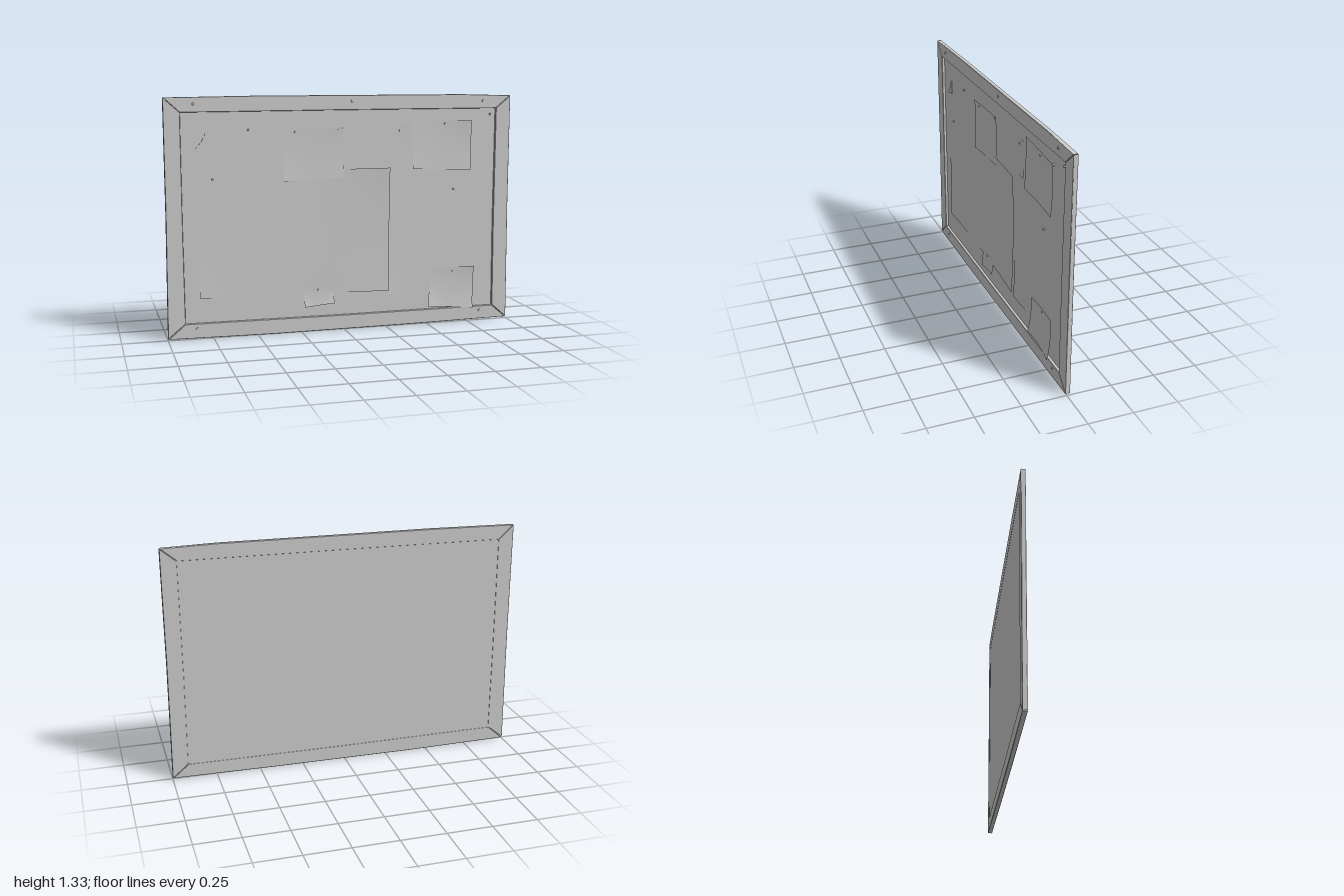
import * as THREE from 'three';

const BACK = -0.018, FRONT = 0.007, PANEL = -0.009;

export function createModel() {
  const board = new THREE.Group();
  board.name = 'noticeBoard';
  const material = new THREE.MeshStandardMaterial({ color: 0xcccccc });
  const paperMaterial = new THREE.MeshStandardMaterial({ color: 0xcccccc, side: THREE.DoubleSide });

  const add = (name, geometry, mat = material) => {
    const mesh = new THREE.Mesh(geometry, mat);
    mesh.name = name;
    board.add(mesh);
    return mesh;
  };

  // Mitred frame rails with slightly uneven, hand-cut outer edges
  const bevel = 0.002;
  const rail = (name, points) => {
    const shape = new THREE.Shape(points.map(([x, y]) => new THREE.Vector2(x, y)));
    const geometry = new THREE.ExtrudeGeometry(shape, {
      depth: FRONT - BACK - 2 * bevel, bevelEnabled: true, bevelSegments: 1,
      bevelSize: bevel, bevelThickness: bevel, bevelOffset: -bevel,
    });
    geometry.translate(0, 0, BACK + bevel);
    add(name, geometry);
  };
  rail('topRail', [[-0.91, 1.25], [0, 1.254], [0.91, 1.255], [0.997, 1.328], [0.7, 1.336], [-0.5, 1.336], [-0.997, 1.33]]);
  rail('bottomRail', [[-0.997, 0.01], [-0.4, 0.003], [0.4, 0.006], [0.997, 0.013], [0.91, 0.088], [0, 0.086], [-0.905, 0.09]]);
  rail('rightRail', [[-1, 0.013], [-0.903, 0.092], [-0.908, 0.6], [-0.91, 1.25], [-1, 1.33], [-0.997, 0.7]]);
  rail('leftRail', [[1, 0.014], [0.997, 0.7], [1, 1.327], [0.912, 1.255], [0.908, 0.6], [0.91, 0.09]]);

  // Recessed pin panel
  const thickness = PANEL - BACK - 0.001;
  add('panel', new THREE.BoxGeometry(1.84, 1.19, thickness))
    .position.set(0, 0.67, PANEL - thickness / 2);

  // Sheet spanning four corners [x, y, lift], in order TL, TR, BR, BL; lifted corners curl forward
  const sheet = (name, corners, layer = 1) => {
    const geometry = new THREE.PlaneGeometry(1, 1, 12, 12);
    const pos = geometry.attributes.position;
    for (let i = 0; i < pos.count; i++) {
      const u = pos.getX(i) + 0.5, v = pos.getY(i) + 0.5;
      const weights = [(1 - u) * v, u * v, u * (1 - v), (1 - u) * (1 - v)];
      let x = 0, y = 0, z = PANEL + 0.0015 * layer;
      corners.forEach(([cx, cy, lift], k) => {
        x += cx * weights[k];
        y += cy * weights[k];
        z += lift * weights[k] ** 2;
      });
      pos.setXYZ(i, x, y, z);
    }
    geometry.computeVertexNormals();
    add(name, geometry, paperMaterial);
  };
  sheet('wideSheet', [[-0.82, 0.91, 0], [-0.26, 0.92, 0], [-0.26, 0.22, 0], [-0.82, 0.228, 0.008]]);
  sheet('tallSheet', [[-0.29, 0.92, 0], [0.27, 0.925, 0.016], [0.265, 0.212, 0.016], [-0.29, 0.222, 0]], 2);
  sheet('upperNote', [[-0.355, 1.152, 0.004], [-0.005, 1.16, 0.007], [0, 0.88, 0.01], [-0.343, 0.862, 0.009]]);
  sheet('rightNote', [[0.41, 1.2, 0], [0.765, 1.185, 0.01], [0.76, 0.9, 0.012], [0.41, 0.912, 0.007]], 2);
  sheet('narrowNote', [[0.265, 1.155, 0], [0.39, 1.165, 0.004], [0.387, 0.955, 0.006], [0.265, 0.95, 0]]);
  sheet('rearNote', [[0.262, 0.6, 0], [0.53, 0.6, 0], [0.53, 0.18, 0], [0.265, 0.186, 0.006]]);
  sheet('smallNote', [[-0.235, 0.25, 0], [-0.06, 0.25, 0], [-0.058, 0.157, 0.012], [-0.23, 0.142, 0.01]], 3);
  sheet('curledNote', [[0.525, 0.325, 0.006], [0.792, 0.33, 0.012], [0.782, 0.083, 0.0245], [0.507, 0.102, 0.019]], 2);

  // Torn paper scrap
  const scrap = new THREE.Shape([[-0.84, 1.042], [-0.77, 1.055], [-0.775, 1.135], [-0.797, 1.09]]
    .map(([x, y]) => new THREE.Vector2(x, y)));
  const scrapGeometry = new THREE.ExtrudeGeometry(scrap, { depth: 0.005, bevelEnabled: false });
  scrapGeometry.translate(0, 0, PANEL);
  add('paperScrap', scrapGeometry);

  // Frame screws and drawing pins
  const studs = (name, radius, base, top, places) => {
    for (const [x, y] of places) {
      const geometry = new THREE.CylinderGeometry(radius * 0.8, radius, top - base, 8);
      geometry.rotateX(Math.PI / 2);
      add(name, geometry).position.set(x, y, (base + top) / 2);
    }
  };
  studs('screw', 0.008, FRONT - 0.002, 0.011,
    [[-0.84, 1.295], [0.045, 1.302], [0.83, 1.297], [-0.84, 0.062], [0.83, 0.062]]);
  studs('pin', 0.006, PANEL, 0.001,
    [[-0.28, 1.135], [-0.03, 1.15], [0.33, 1.135], [0.6, 1.17], [0.755, 1.18], [-0.54, 1.15],
      [-0.74, 0.885], [0.66, 0.79], [-0.15, 0.24], [0.66, 0.305], [0.88, 1.22]]);

  return board;
}
